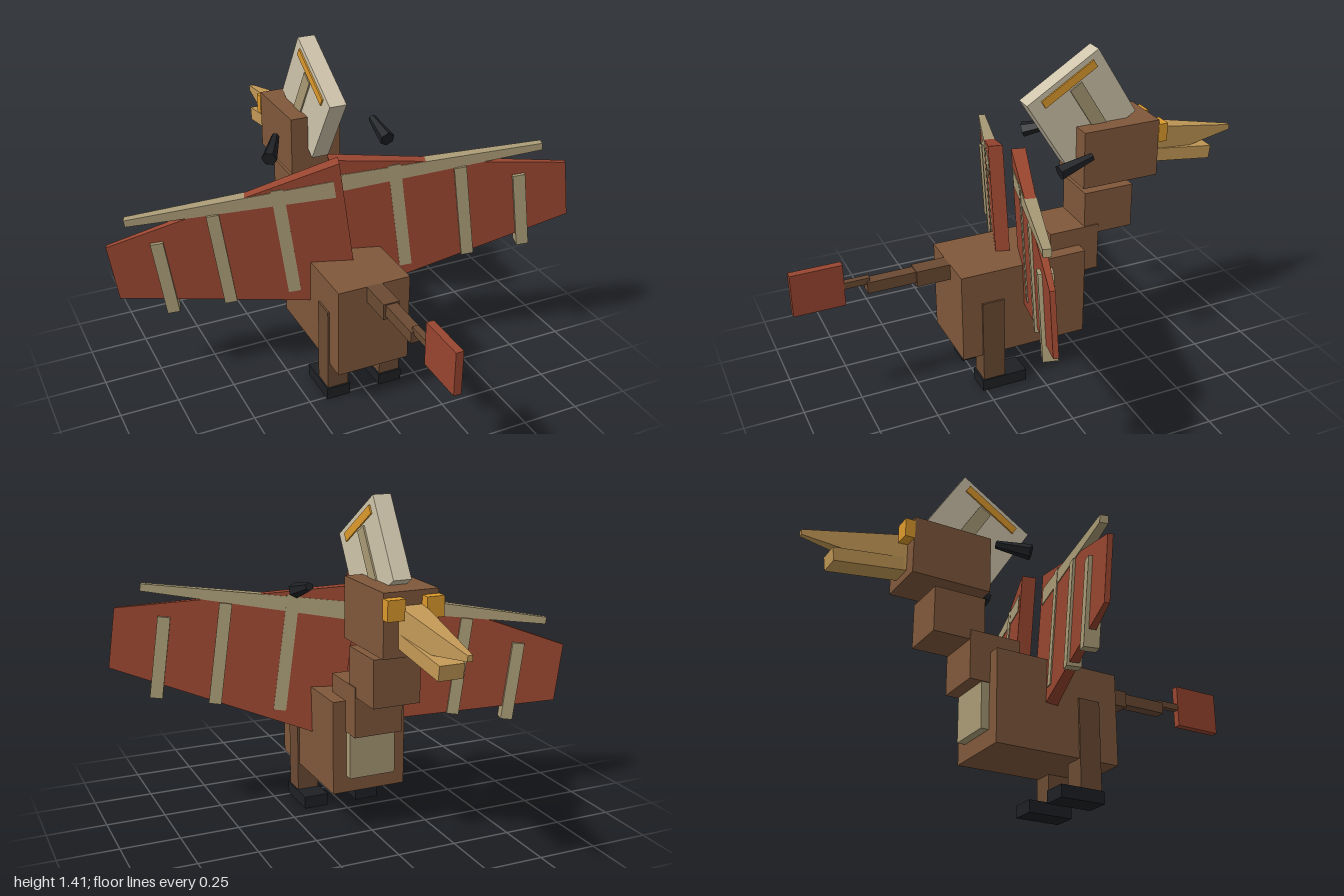
import * as THREE from 'three';

const mat = (color) => new THREE.MeshStandardMaterial({ color, flatShading: true });

export function createModel() {
  const model = new THREE.Group();
  model.name = 'woodenBird';
  const brown = mat(0x80583b), darkBrown = mat(0x6a4a33), red = mat(0x98452f);
  const tan = mat(0xa89a75), cream = mat(0xcfc4ab), gold = mat(0xc49a57);
  const orange = mat(0xdc9a2c), black = mat(0x1e2024);

  const add = (parent, name, geometry, material, x, y, z) => {
    const mesh = new THREE.Mesh(geometry, material);
    mesh.name = name;
    mesh.position.set(x, y, z);
    parent.add(mesh);
    return mesh;
  };
  // Box given by its x half width and its y and z ranges
  const block = (name, m, half, y0, y1, z0, z1, x = 0) => add(model, name,
    new THREE.BoxGeometry(half * 2, y1 - y0, z1 - z0), m, x, (y0 + y1) / 2, (z0 + z1) / 2);
  // Beam from x = 0 to x = length, narrowing to height h1 and depth d1
  const taper = (length, h0, d0, h1, d1) => {
    const g = new THREE.BoxGeometry(length, h0, d0).translate(length / 2, 0, 0);
    const p = g.attributes.position;
    for (let i = 0; i < p.count; i++) {
      if (p.getX(i) > length / 2) {
        p.setY(i, p.getY(i) * h1 / h0);
        p.setZ(i, p.getZ(i) * d1 / d0);
      }
    }
    g.computeVertexNormals();
    return g;
  };

  // Body, belly panel, neck and head
  block('body', brown, 0.16, 0.175, 0.57, -0.215, 0.345);
  block('bellyPanel', tan, 0.1, 0.245, 0.5, -0.25, -0.2);
  block('lowerNeck', brown, 0.105, 0.44, 0.65, -0.305, -0.08);
  block('upperNeck', brown, 0.1, 0.61, 0.805, -0.465, -0.24);
  block('head', brown, 0.113, 0.835, 1.085, -0.572, -0.225);

  // Tail
  block('tailBase', darkBrown, 0.035, 0.5, 0.57, 0.34, 0.49);
  block('tailMiddle', darkBrown, 0.025, 0.515, 0.565, 0.48, 0.695);
  block('tailEnd', darkBrown, 0.013, 0.552, 0.58, 0.68, 0.8);
  block('tailFin', red, 0.016, 0.48, 0.665, 0.787, 1.0);

  // Legs, feet and eyes
  for (const s of [1, -1]) {
    block('leg', darkBrown, 0.047, 0.04, 0.43, 0.16, 0.257, s * 0.121);
    block('foot', black, 0.053, 0, 0.053, 0.065, 0.265, s * 0.121);
    block('eye', orange, 0.036, 0.985, 1.065, -0.612, -0.57, s * 0.08);
  }

  // Beak
  const upperBeak = add(model, 'upperBeak', taper(0.44, 0.165, 0.105, 0.022, 0.02), gold, 0, 0.95, -0.56);
  upperBeak.rotation.set(0, Math.PI / 2, -0.025, 'YXZ');
  const jaw = add(model, 'lowerBeak', new THREE.BoxGeometry(0.1, 0.058, 0.34), gold, 0, 0.88, -0.71);
  jaw.rotation.x = -0.13;

  // Tilted crest plate with inlaid strips
  const crest = new THREE.Group();
  crest.name = 'crest';
  crest.position.set(0, 1.16, -0.25);
  crest.rotation.x = 0.555;
  model.add(crest);
  add(crest, 'crestPlate', new THREE.BoxGeometry(0.075, 0.348, 0.37), cream, 0, 0, 0);
  add(crest, 'crestBand', new THREE.BoxGeometry(0.088, 0.036, 0.27), orange, 0, 0.133, -0.008);
  add(crest, 'crestStrip', new THREE.BoxGeometry(0.088, 0.26, 0.06), tan, 0, -0.025, -0.025);

  // Dark pegs behind the head, each from its narrow end to its wide end
  const pegs = [
    [[0.246, 1.045, -0.188], [0.247, 1.003, -0.045]],
    [[-0.18, 1.02, -0.237], [-0.257, 0.98, -0.117]],
  ];
  for (const [narrow, wide] of pegs) {
    const a = new THREE.Vector3(...narrow), b = new THREE.Vector3(...wide);
    const mid = a.clone().lerp(b, 0.5);
    const peg = add(model, 'peg', new THREE.CylinderGeometry(0.017, 0.033, a.distanceTo(b), 6),
      black, mid.x, mid.y, mid.z);
    peg.quaternion.setFromUnitVectors(new THREE.Vector3(0, 1, 0), a.sub(b).normalize());
  }

  // Wing pair, banked and turned as one
  const wings = new THREE.Group();
  wings.name = 'wings';
  wings.position.set(0, 0.68, 0.05);
  wings.quaternion.setFromRotationMatrix(new THREE.Matrix4().makeBasis(
    new THREE.Vector3(0.940, 0.133, 0.312),
    new THREE.Vector3(-0.140, 0.990, 0),
    new THREE.Vector3(-0.309, -0.044, 0.949)));
  model.add(wings);
  const ribs = [[0.262, 0.262], [0.533, 0.197], [0.776, 0.113]]; // distance out, top
  for (const s of [1, -1]) {
    const wing = new THREE.Group();
    wing.name = s > 0 ? 'leftWing' : 'rightWing';
    wing.position.set(-s * 0.018, -s * 0.015, -s * 0.048);
    wing.rotation.y = s > 0 ? 0 : Math.PI;
    wings.add(wing);
    add(wing, 'wingPanel', taper(0.98, 0.67, 0.06, 0.252, 0.02), red, 0, 0, 0);
    add(wing, 'wingSpar', taper(0.85, 0.075, 0.064, 0.03, 0.032), tan, 0.033, 0.223, 0);
    for (const [x, top] of ribs) {
      add(wing, 'wingRib', new THREE.BoxGeometry(0.052, top + 0.23, 0.058), tan, x, (top - 0.23) / 2, 0);
    }
  }
  return model;
}
